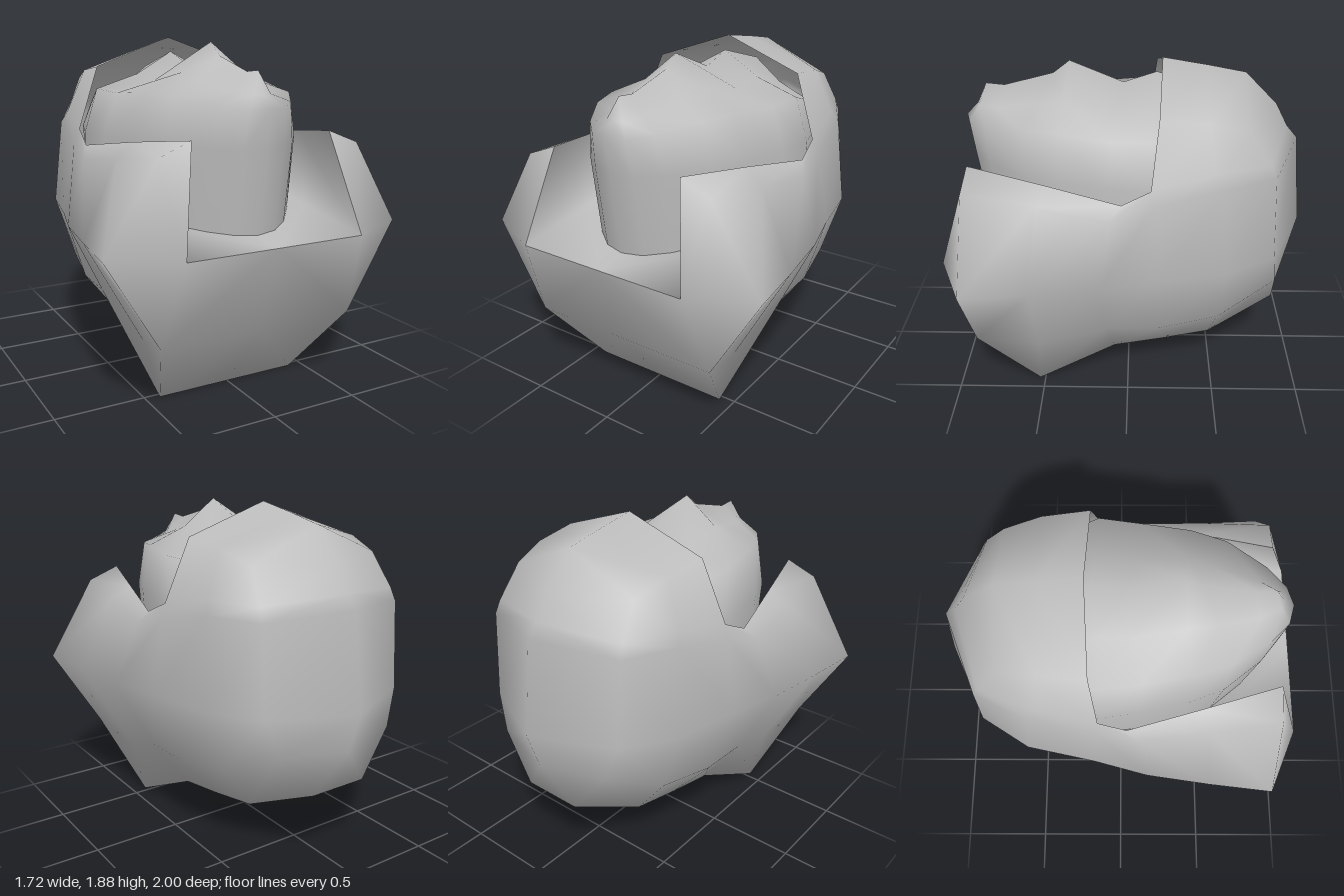
import * as THREE from 'three';
import { mergeVertices } from 'three/addons/utils/BufferGeometryUtils.js';

// Skins half cross-sections and their mirror image into one smooth surface.
// Faces are only made where both neighbouring sections have the column.
function loft(rows, flip) {
  const pos = [];
  const tri = (a, b, c) => {
    const [A, B, C] = [a, b, c].map(p => new THREE.Vector3(...p));
    if (B.clone().sub(A).cross(C.clone().sub(A)).length() < 1e-5) return;
    pos.push(...a, ...b, ...c);
  };
  for (const side of [1, -1]) {
    const at = p => [p[0] * side, p[1], p[2]];
    for (let i = 0; i + 1 < rows.length; i++) {
      const n = Math.min(rows[i].length, rows[i + 1].length);
      for (let j = 0; j + 1 < n; j++) {
        const a = at(rows[i][j]), b = at(rows[i][j + 1]);
        const c = at(rows[i + 1][j + 1]), d = at(rows[i + 1][j]);
        if ((side > 0) !== flip) { tri(a, c, b); tri(a, d, c); }
        else { tri(a, b, c); tri(a, c, d); }
      }
    }
  }
  let g = new THREE.BufferGeometry();
  g.setAttribute('position', new THREE.Float32BufferAttribute(pos, 3));
  g = mergeVertices(g, 1e-4);
  g.computeVertexNormals();
  return g;
}

// Hood section: flat base, flank, widest point, shoulder, rim, then optional crown points.
function hoodSection([baseY, baseZ, baseX], [flankX, flankY], [wideX, wideZ], shoulderX, rim, ...crown) {
  return [
    [0, baseY, baseZ],
    [baseX, baseY, baseZ],
    [flankX, flankY, (baseZ + wideZ) / 2],
    [wideX, 0.9, wideZ],
    [shoulderX, rim[1] - 0.07, (wideZ + rim[2]) / 2],
    rim,
    ...crown,
  ];
}

// Face section: top ridge, slope, cheekbone, side and lower edge.
function faceSection([ridgeZ, ridgeY, sideZ, width, cheekY, lowY]) {
  const mix = THREE.MathUtils.lerp;
  return [
    [0, ridgeY, ridgeZ],
    [width * 0.4, mix(ridgeY, cheekY, 0.62), mix(ridgeZ, sideZ, 0.45)],
    [width * 0.86, cheekY, sideZ],
    [width, 1.36, sideZ * 0.97],
    [width * 0.98, lowY, sideZ * 0.9],
  ];
}

export function createModel() {
  const model = new THREE.Group();
  const grey = new THREE.MeshStandardMaterial({ color: 0xbdbdbd, side: THREE.DoubleSide });
  grey.name = 'plain grey';
  const add = (name, geometry) => {
    const mesh = new THREE.Mesh(geometry, grey);
    mesh.name = name;
    model.add(mesh);
  };

  // Hood, from the front lip with its two raised collar tips to the back of the head
  const tip = [0.4, 1.42, 0.84], rimMid = [0.51, 1.37, 0.43], rimLow = [0.61, 1.31, 0.03];
  const lipCentre = [0, 0.89, 1], lipCorner = [0.51, 0.89, 1];
  add('hood', loft([
    [lipCentre, ...Array(4).fill(lipCorner), tip],
    hoodSection([0.42, 0.85, 0.57], [0.57, 0.42], [0.86, 0.85], 0.58, tip),
    hoodSection([0, 0.53, 0.42], [0.5, 0.32], [0.82, 0.5], 0.62, rimMid),
    hoodSection([0.21, 0.08, 0.36], [0.57, 0.5], [0.77, 0.15], 0.65, rimLow),
    hoodSection([0.24, -0.2, 0.33], [0.56, 0.5], [0.69, -0.15], 0.62, [0.59, 1.38, -0.12], [0.46, 1.72, -0.16], [0, 1.88, -0.18]),
    hoodSection([0.28, -0.48, 0.3], [0.5, 0.54], [0.61, -0.53], 0.57, [0.54, 1.45, -0.45], [0.44, 1.69, -0.42], [0, 1.84, -0.42]),
    hoodSection([0.45, -0.86, 0.17], [0.37, 0.7], [0.44, -0.8], 0.44, [0.43, 1.45, -0.74], [0.4, 1.63, -0.62], [0, 1.8, -0.63]),
    hoodSection([0.45, -0.86, 0], [0, 0.68], [0, -1], 0, [0, 1.49, -0.88], [0, 1.62, -0.81], [0, 1.8, -0.63]),
  ], false));

  // Lining between the rim and the face: gently rising floor and side walls
  add('lining', loft([
    [lipCentre, lipCorner, tip],
    [[0, 0.94, 0.55], [0.51, 0.96, 0.5], rimMid],
    [[0, 1, 0], [0.56, 1, 0], rimLow],
  ], true));

  // Upturned face, from chin over nose and brow to the hidden back
  add('face', loft([
    [0.78, 1.73, 0.9, 0, 1.55, 0.88],
    [0.78, 1.73, 0.87, 0.12, 1.55, 0.88],
    [0.68, 1.72, 0.77, 0.24, 1.57, 0.89],
    [0.41, 1.79, 0.56, 0.4, 1.6, 0.92],
    [0.32, 1.86, 0.37, 0.47, 1.61, 0.94],
    [0.03, 1.74, 0.1, 0.53, 1.59, 0.97],
    [-0.15, 1.8, -0.12, 0.56, 1.6, 1],
    [-0.5, 1.7, -0.45, 0.45, 1.5, 1],
  ].map(faceSection), true));

  return model;
}
